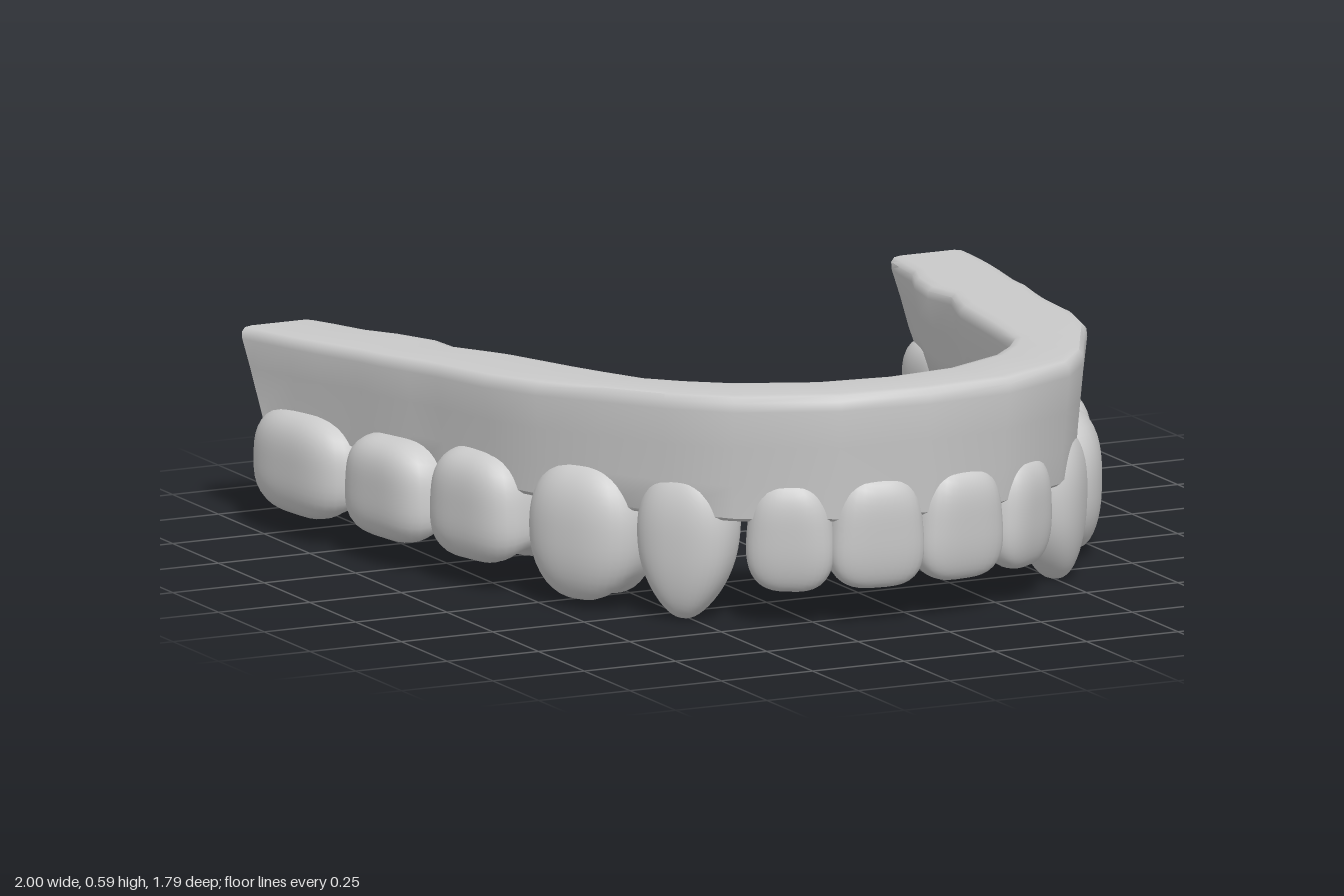
import * as THREE from 'three';
import { mergeVertices, toCreasedNormals } from 'three/addons/utils/BufferGeometryUtils.js';

const material = new THREE.MeshStandardMaterial({ color: 0xcccccc });

// Half of the arch, front to back: outer x, z and inner x, z of the gum's top
const arch = [
  [0, 0.893, 0, 0.66], [0.23, 0.867, 0.18, 0.63], [0.46, 0.738, 0.355, 0.525],
  [0.575, 0.585, 0.44, 0.43], [0.665, 0.41, 0.5, 0.34], [0.755, 0.245, 0.535, 0.2],
  [0.81, 0.07, 0.56, 0.09], [0.84, -0.13, 0.61, -0.16], [0.865, -0.24, 0.63, -0.22],
  [0.89, -0.34, 0.675, -0.34], [0.905, -0.43, 0.667, -0.45], [0.94, -0.58, 0.7, -0.59],
  [0.962, -0.69, 0.742, -0.69], [0.985, -0.83, 0.765, -0.81], [0.992, -0.895, 0.785, -0.895],
];

// Gum cross-section: across (0 inner, 1 outer) and height (0 bottom, 1 top)
const section = [
  [0.24, 0], [0.18, 0.04], [0.11, 0.3], [0.06, 0.6], [0, 0.88], [0.01, 0.95], [0.06, 0.99],
  [0.15, 1], [0.85, 1], [0.94, 0.99], [0.99, 0.95], [1, 0.88], [0.955, 0.6],
  [0.915, 0.3], [0.88, 0.04], [0.82, 0],
];

function gumGeometry() {
  const mirrored = arch.slice(1).reverse().map(([a, b, c, d]) => [-a, b, -c, d]);
  const stations = [...mirrored, ...arch];
  const n = section.length, last = stations.length - 1;
  const pos = [], index = [];
  stations.forEach(([ox, oz, ix, iz], i) => {
    const isEnd = i === 0 || i === last;
    for (const [s, t] of section) {
      const z = iz + (oz - iz) * s;
      const top = 0.59 - (0.89 - z) * 0.056;
      // the inner gum line rises towards the front
      const bottom = 0.25 + 0.09 * Math.max(0, z) * (1 - s);
      // the back ends lean forward towards the bottom
      const lean = isEnd ? 0.085 * (1 - t) : i === 1 || i === last - 1 ? 0.04 * (1 - t) : 0;
      pos.push(ix + (ox - ix) * s, bottom + (top - bottom) * t, z + lean);
    }
  });
  for (let i = 0; i < last; i++) {
    for (let j = 0; j < n; j++) {
      const a = i * n + j, b = i * n + (j + 1) % n;
      index.push(a, b, a + n, b, b + n, a + n);
    }
  }
  // end caps
  for (const i of [0, last]) {
    const c = pos.length / 3, sum = [0, 0, 0];
    for (let j = 0; j < n; j++) for (let k = 0; k < 3; k++) sum[k] += pos[(i * n + j) * 3 + k] / n;
    pos.push(...sum);
    for (let j = 0; j < n; j++) {
      const a = i * n + j, b = i * n + (j + 1) % n;
      index.push(c, ...(i ? [a, b] : [b, a]));
    }
  }
  const g = new THREE.BufferGeometry();
  g.setAttribute('position', new THREE.Float32BufferAttribute(pos, 3));
  g.setIndex(index);
  return toCreasedNormals(g, 0.75);
}

// x, z: middle of the outer surface; yaw: facing; k: boxiness; neck, tip: narrowing
// at top and bottom; thin: wedge towards the edge; groove: depth of the chewing valley
const teeth = [
  { name: 'centralIncisor', x: 0.121, z: 0.89, yaw: 0.13, w: 0.25, depth: 0.22, y0: 0.09, y1: 0.38, k: 3.2, neck: 0.18, tip: 0, thin: 0.55, groove: 0 },
  { name: 'lateralIncisor', x: 0.348, z: 0.81, yaw: 0.56, w: 0.23, depth: 0.22, y0: 0.085, y1: 0.375, k: 3, neck: 0.22, tip: 0.05, thin: 0.55, groove: 0 },
  { name: 'canine', x: 0.57, z: 0.615, yaw: 0.92, w: 0.28, depth: 0.23, y0: 0, y1: 0.39, k: 2.5, neck: 0.15, tip: 0.5, thin: 0.4, groove: 0 },
  { name: 'firstPremolar', x: 0.738, z: 0.365, yaw: 1.12, w: 0.35, depth: 0.255, y0: 0.0, y1: 0.37, k: 2.6, neck: 0.14, tip: 0.28, thin: 0.15, groove: 0.04 },
  { name: 'secondPremolar', x: 0.862, z: 0.025, yaw: 1.34, w: 0.335, depth: 0.25, y0: 0.055, y1: 0.345, k: 3.3, neck: 0.18, tip: 0.06, thin: 0.1, groove: 0.045 },
  { name: 'firstMolar', x: 0.938, z: -0.295, yaw: 1.43, w: 0.36, depth: 0.26, y0: 0.055, y1: 0.32, k: 3.5, neck: 0.16, tip: 0.05, thin: 0.1, groove: 0.045 },
  { name: 'secondMolar', x: 0.995, z: -0.665, yaw: 1.45, w: 0.42, depth: 0.25, y0: 0.045, y1: 0.32, k: 3.2, neck: 0.14, tip: 0.12, thin: 0.1, groove: 0.05 },
];

// A rounded block reshaped into a crown
function toothGeometry({ w, depth, y0, y1, k, neck, tip, thin, groove }) {
  let g = new THREE.SphereGeometry(1, 40, 28);
  g.deleteAttribute('uv');
  g.deleteAttribute('normal');
  g = mergeVertices(g, 1e-4);
  const p = g.attributes.position, v = new THREE.Vector3();
  for (let i = 0; i < p.count; i++) {
    v.fromBufferAttribute(p, i);
    const r = Math.abs(v.x) ** k + Math.abs(v.y) ** k + Math.abs(v.z) ** k;
    v.multiplyScalar(r ** (-1 / k));
    const d = (1 - v.y) / 2;
    const x = v.x * (w / 2) * (1 - neck * (1 - d) ** 2) * (1 - tip * d ** 3);
    const z = (depth / 2) * (v.z * (1 - thin * d) + thin * d * 0.75);
    // valley along the chewing face
    const low = Math.max(0, -v.y) ** 3;
    const y = y1 + (y0 - y1) * d + groove * low * Math.exp(-((v.z / 0.4) ** 2));
    p.setXYZ(i, x, y, z);
  }
  g.computeVertexNormals();
  return g;
}

export function createModel() {
  const model = new THREE.Group();
  model.name = 'dentalArch';

  const gum = new THREE.Mesh(gumGeometry(), material);
  gum.name = 'gum';
  model.add(gum);

  for (const t of teeth) {
    const geometry = toothGeometry(t);
    for (const side of [1, -1]) {
      const tooth = new THREE.Mesh(geometry, material);
      tooth.name = t.name + (side > 0 ? 'Left' : 'Right');
      const inset = t.depth / 2;
      tooth.position.set(side * (t.x - Math.sin(t.yaw) * inset), 0, t.z - Math.cos(t.yaw) * inset);
      tooth.rotation.y = side * t.yaw;
      model.add(tooth);
    }
  }
  return model;
}
